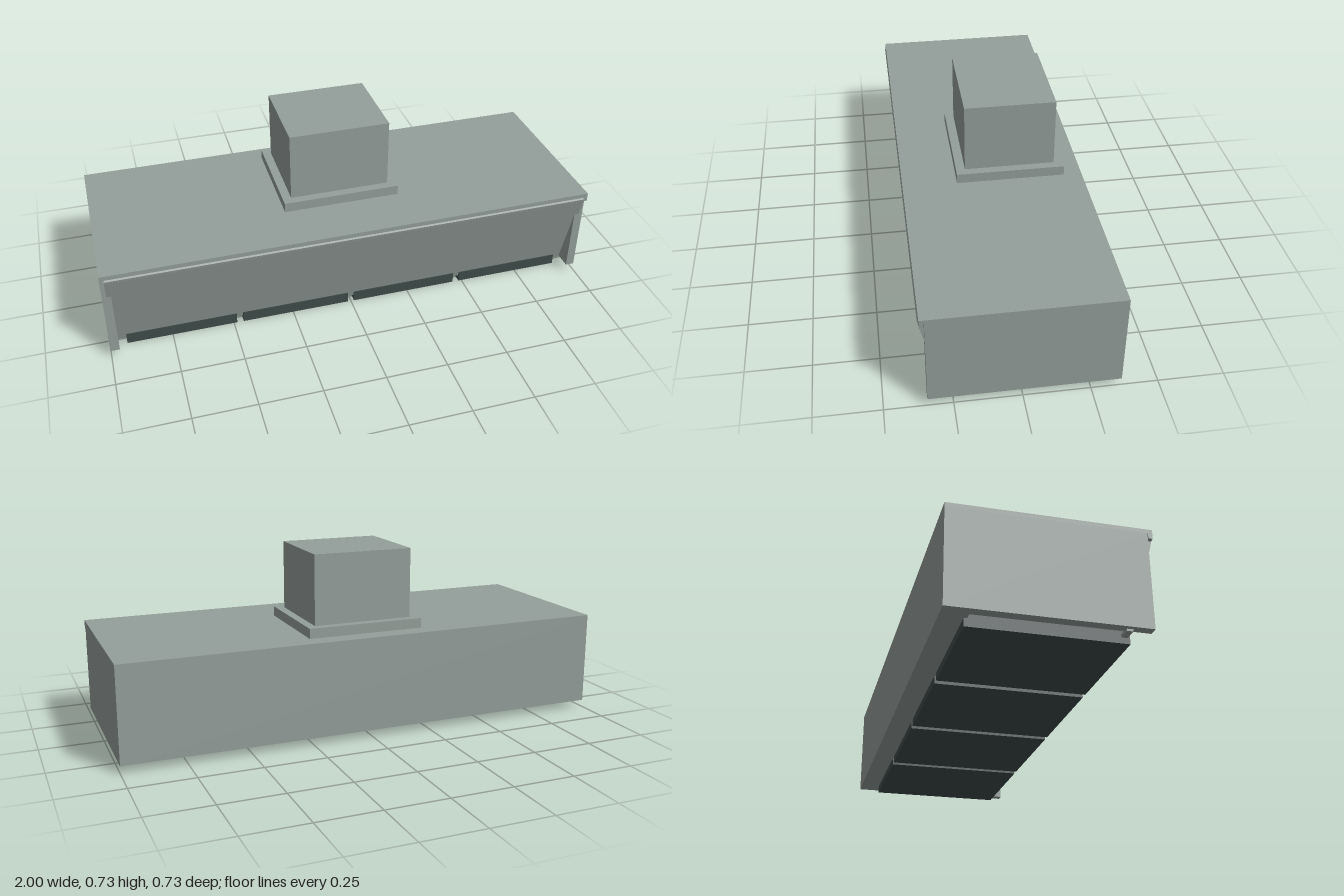
import * as THREE from 'three';

export function createModel() {
  const hood = new THREE.Group();
  hood.name = 'extractorHood';
  const steel = new THREE.MeshStandardMaterial({ color: 0x949e9a });
  steel.name = 'brushed steel';
  const dark = new THREE.MeshStandardMaterial({ color: 0x3f4b4a });
  dark.name = 'dark filter';

  // Box given by its minimum and maximum corners
  function box(name, [x0, y0, z0], [x1, y1, z1], material = steel) {
    const geometry = new THREE.BoxGeometry(x1 - x0, y1 - y0, z1 - z0);
    geometry.translate((x0 + x1) / 2, (y0 + y1) / 2, (z0 + z1) / 2);
    const mesh = new THREE.Mesh(geometry, material);
    mesh.name = name;
    hood.add(mesh);
  }

  // Canopy: top with a turned-down front lip, back and two sides
  box('canopyTop', [-1, 0.395, -0.363], [1, 0.41, 0.361]);
  box('frontLip', [-1, 0.375, 0.345], [1, 0.396, 0.361]);
  box('backPanel', [-0.965, 0.03, -0.363], [0.965, 0.396, -0.345]);
  for (const s of [-1, 1]) {
    const x = [s, s * 0.965].sort((a, b) => a - b);
    box(s > 0 ? 'leftSide' : 'rightSide', [x[0], 0.03, -0.363], [x[1], 0.396, 0.343]);
  }

  // Front panel leaning inward to the bottom, with a folded tip; profile is in z, y
  const profile = new THREE.Shape([
    [0.345, 0.392], [0.361, 0.392], [0.365, 0.386], [0.363, 0.376],
    [0.272, 0.022], [0.25, 0.022], [0.25, 0.034], [0.262, 0.034],
  ].map(([z, y]) => new THREE.Vector2(z, y)));
  const panelGeometry = new THREE.ExtrudeGeometry(profile, { depth: 1.966, bevelEnabled: false });
  panelGeometry.rotateY(-Math.PI / 2).translate(0.983, 0, 0);
  const panel = new THREE.Mesh(panelGeometry, steel);
  panel.name = 'frontPanel';
  hood.add(panel);

  // Rail holding the back of the filters
  box('backRail', [-0.965, 0.03, -0.346], [0.965, 0.04, -0.27]);

  // Row of four filters
  for (let i = 0; i < 4; i++) {
    const x = (i - 1.5) * 0.473;
    box('filter' + (i + 1), [x - 0.223, 0, -0.281], [x + 0.223, 0.045, 0.281], dark);
  }

  // Duct collar and chimney
  box('ductCollar', [-0.24, 0.41, -0.29], [0.24, 0.45, 0.143]);
  box('chimney', [-0.205, 0.45, -0.254], [0.205, 0.732, 0.107]);
  return hood;
}
